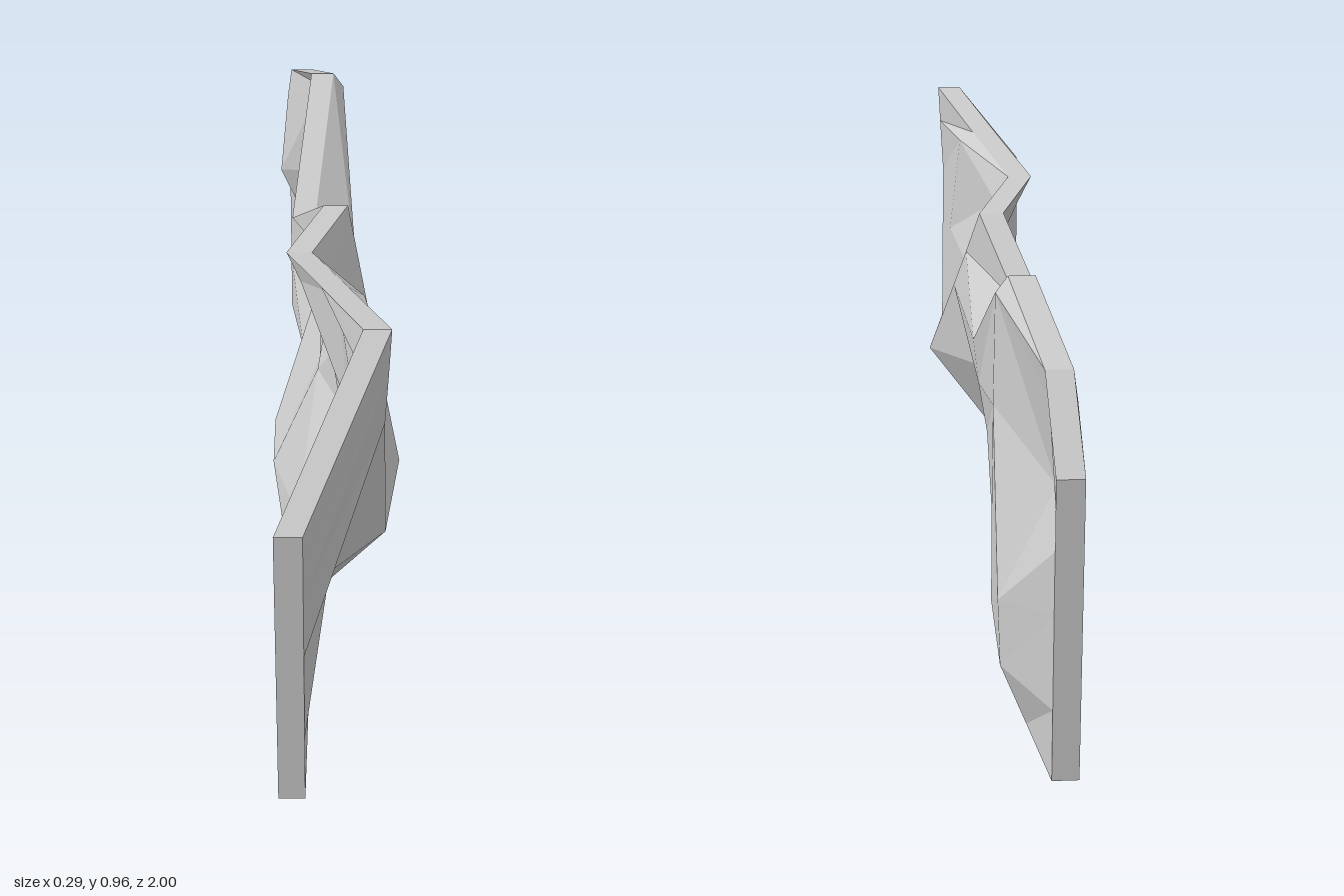
import * as THREE from 'three';

const thickness = 0.055;
const endX = -0.06;

// A horizontal course of the +x face from z = 1 to z = -1; both ends are flat at one height.
const course = (endY, z, y, x) => [
  [endX, endY, 1],
  ...z.map((zi, i) => [x[i], y[i], zi]),
  [endX, endY, -1],
];

const foot = course(0.015,
  [0.76, 0.50, 0.24, 0.00, -0.20, -0.52, -0.78],
  [0.02, 0.03, 0.02, 0.005, 0.015, 0.01, 0.0],
  [-0.06, -0.05, -0.05, -0.07, -0.075, -0.03, -0.025]);
const lowerBand = course(0.18,
  [0.76, 0.52, 0.24, 0.00, -0.20, -0.52, -0.78],
  [0.19, 0.18, 0.17, 0.15, 0.14, 0.145, 0.145],
  [-0.05, -0.025, -0.03, -0.09, -0.09, 0.035, 0.03]);
const bulge = course(0.39,
  [0.75, 0.58, 0.33, 0.05, -0.14, -0.55, -0.78],
  [0.40, 0.375, 0.385, 0.45, 0.37, 0.38, 0.30],
  [-0.01, 0.11, 0.148, 0.02, 0.025, 0.035, 0.035]);
const upperFace = course(0.53,
  [0.71, 0.52, 0.285, 0.165, -0.155, -0.60, -0.79],
  [0.74, 0.64, 0.625, 0.62, 0.50, 0.65, 0.56],
  [0.10, 0.088, 0.054, 0.09, 0.045, 0.035, -0.08]);
const lip = course(0.62,
  [0.72, 0.47, 0.25, 0.08, -0.17, -0.59, -0.83],
  [0.87, 0.89, 0.80, 0.735, 0.615, 0.89, 0.76],
  [0.106, 0.063, -0.015, 0.063, 0.057, 0.03, -0.06]);
const crest = course(0.68,
  [0.72, 0.47, 0.24, 0.00, -0.21, -0.59, -0.84],
  [0.96, 0.91, 0.865, 0.855, 0.715, 0.925, 0.83],
  [0.11, 0.03, -0.045, 0.035, -0.04, 0.005, -0.05]);
const courses = [foot, lowerBand, bulge, upperFace, lip, crest];

// Facets (column, course) split along the other diagonal.
const flipped = new Set(['1,1', '1,2', '6,2', '6,3']);

function buildSlab() {
  const cols = foot.length - 1;
  const top = courses.length - 1;
  const face = (i, j) => courses[j][i];
  const rear = (i, j) => {
    const [x, y, z] = courses[j][i];
    return [x - thickness, y, z];
  };
  const pos = [];
  const quad = (a, b, c, d) => pos.push(...a, ...b, ...c, ...a, ...c, ...d);

  for (let i = 0; i < cols; i++) {
    // Two broad sides
    for (let j = 0; j < top; j++) {
      const ring = [[i, j], [i + 1, j], [i + 1, j + 1], [i, j + 1]];
      if (flipped.has(`${i},${j}`)) ring.push(ring.shift());
      const [a, b, c, d] = ring;
      quad(face(...a), face(...b), face(...c), face(...d));
      quad(rear(...c), rear(...b), rear(...a), rear(...d));
    }
    // Crest and underside
    quad(face(i, top), face(i + 1, top), rear(i + 1, top), rear(i, top));
    quad(rear(i, 0), rear(i + 1, 0), face(i + 1, 0), face(i, 0));
  }
  // Flat ends
  for (let j = 0; j < top; j++) {
    quad(rear(0, j), face(0, j), face(0, j + 1), rear(0, j + 1));
    quad(face(cols, j), rear(cols, j), rear(cols, j + 1), face(cols, j + 1));
  }
  const geometry = new THREE.BufferGeometry();
  geometry.setAttribute('position', new THREE.Float32BufferAttribute(pos, 3));
  geometry.computeVertexNormals();
  return geometry;
}

export function createModel() {
  const group = new THREE.Group();
  group.name = 'rockWall';
  const slab = new THREE.Mesh(
    buildSlab(),
    new THREE.MeshStandardMaterial({ color: 0xcccccc, flatShading: true })
  );
  slab.name = 'facetedSlab';
  group.add(slab);
  return group;
}
